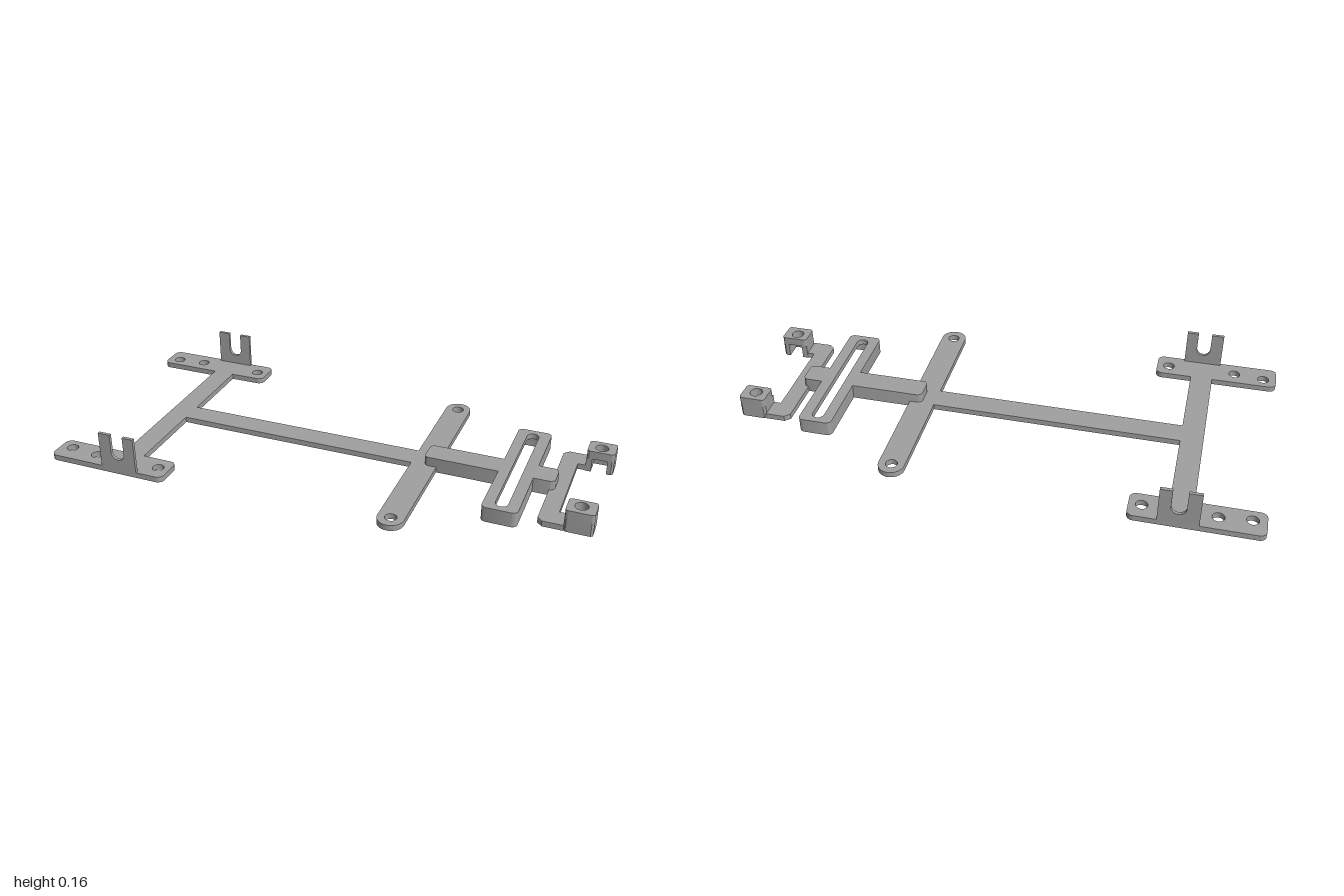
import * as THREE from 'three';
import { toCreasedNormals } from 'three/addons/utils/BufferGeometryUtils.js';

const T = 0.022; // thickness of the thin plates

// Rounded rectangle on the ground plane, with separate radii for its -x and +x ends
function rect(x0, x1, z0, z1, rl = 0, rr = rl, Type = THREE.Shape) {
  const s = new Type();
  s.moveTo(x0 + rl, z0);
  s.lineTo(x1 - rr, z0);
  if (rr) s.absarc(x1 - rr, z0 + rr, rr, -Math.PI / 2, 0, false);
  else s.lineTo(x1, z0);
  s.lineTo(x1, z1 - rr);
  if (rr) s.absarc(x1 - rr, z1 - rr, rr, 0, Math.PI / 2, false);
  else s.lineTo(x1, z1);
  s.lineTo(x0 + rl, z1);
  if (rl) s.absarc(x0 + rl, z1 - rl, rl, Math.PI / 2, Math.PI, false);
  else s.lineTo(x0, z1);
  s.lineTo(x0, z0 + rl);
  if (rl) s.absarc(x0 + rl, z0 + rl, rl, Math.PI, Math.PI * 1.5, false);
  else s.lineTo(x0, z0);
  return s;
}

function hole(shape, x, z, r = 0.022) {
  const p = new THREE.Path();
  p.absarc(x, z, r, 0, Math.PI * 2, true);
  shape.holes.push(p);
}

function polygon(points) {
  return new THREE.Shape(points.map(([x, y]) => new THREE.Vector2(x, y)));
}

export function createModel() {
  const model = new THREE.Group();
  const grey = new THREE.MeshStandardMaterial({ color: 0xa0a0a0 });
  grey.name = 'grey';

  const add = (name, geo) => {
    const mesh = new THREE.Mesh(toCreasedNormals(geo, 0.6), grey);
    mesh.name = name;
    model.add(mesh);
  };
  // Slab cut from a plan shape, between heights y0 and y1
  const slab = (name, shape, y0, y1) => {
    const geo = new THREE.ExtrudeGeometry(shape, { depth: y1 - y0, bevelEnabled: false, curveSegments: 10 });
    geo.rotateX(Math.PI / 2).translate(0, y1, 0);
    add(name, geo);
  };

  // Flat frame
  slab('spine', rect(-0.665, 0.288, -0.046, 0.046), 0, T);
  slab('rearCrossbar', rect(-0.75, -0.665, -0.37, 0.37), 0, T);
  const arm = rect(0.288, 0.386, -0.467, 0.467, 0.0489);
  hole(arm, 0.337, -0.417);
  hole(arm, 0.337, 0.417);
  slab('crossArm', arm, 0, T);

  // Raised connecting block, either side of the slotted bar
  slab('connectorBlock', rect(0.337, 0.636, -0.046, 0.046, 0.02, 0), 0, 0.058);
  slab('connectorTip', rect(0.729, 0.825, -0.046, 0.046, 0, 0.02), 0, 0.058);

  // Slotted bar: a top with a slot over a hollow rim
  const barTop = rect(0.618, 0.747, -0.293, 0.293, 0.02);
  barTop.holes.push(rect(0.659, 0.704, -0.268, 0.268, 0.0224, 0.0224, THREE.Path));
  slab('slottedBarTop', barTop, 0.036, 0.058);
  const barRim = rect(0.618, 0.747, -0.293, 0.293, 0.02);
  barRim.holes.push(rect(0.636, 0.729, -0.275, 0.275, 0.008, 0.008, THREE.Path));
  slab('slottedBarRim', barRim, 0, 0.036);

  // C-shaped end bracket
  slab('endBracket', polygon([
    [0.825, -0.249], [0.9, -0.249], [0.9, -0.172], [0.87, -0.172], [0.87, 0.172], [0.9, 0.172],
    [0.9, 0.249], [0.825, 0.249], [0.806, 0.23], [0.806, -0.23],
  ]), 0, T);

  for (const s of [-1, 1]) {
    const side = s > 0 ? 'Front' : 'Back';

    // Mounting plate
    const plate = rect(-1, -0.525, s > 0 ? 0.37 : -0.487, s > 0 ? 0.487 : -0.37, 0.025);
    hole(plate, -0.95, s * 0.416);
    hole(plate, -0.835, s * 0.427);
    hole(plate, -0.572, s * 0.425);
    slab('mountingPlate' + side, plate, 0, T);

    // Upright fork with a round-bottomed slot
    const fork = new THREE.Shape();
    fork.moveTo(-0.775, T);
    fork.lineTo(-0.63, T);
    fork.lineTo(-0.63, 0.16);
    fork.lineTo(-0.674, 0.16);
    fork.lineTo(-0.674, 0.087);
    fork.absarc(-0.7005, 0.087, 0.0265, 0, Math.PI, true);
    fork.lineTo(-0.727, 0.16);
    fork.lineTo(-0.775, 0.16);
    const forkGeo = new THREE.ExtrudeGeometry(fork, { depth: 0.012, bevelEnabled: false, curveSegments: 10 });
    forkGeo.translate(0, 0, s > 0 ? 0.475 : -0.487);
    add('fork' + side, forkGeo);

    // End post: drilled cap over a pocket open below and towards the middle
    const cap = rect(0.898, 1, s > 0 ? 0.17 : -0.251, s > 0 ? 0.251 : -0.17, 0.012);
    hole(cap, 0.947, s * 0.207, 0.024);
    slab('postCap' + side, cap, 0.054, 0.086);
    slab('postWalls' + side, polygon([
      [0.898, 0.17], [0.92, 0.17], [0.92, 0.234], [0.976, 0.234], [0.976, 0.17], [0.992, 0.17], [1, 0.178],
      [1, 0.243], [0.992, 0.251], [0.906, 0.251], [0.898, 0.243],
    ].map(([x, z]) => [x, z * s])), 0, 0.054);
  }
  return model;
}
